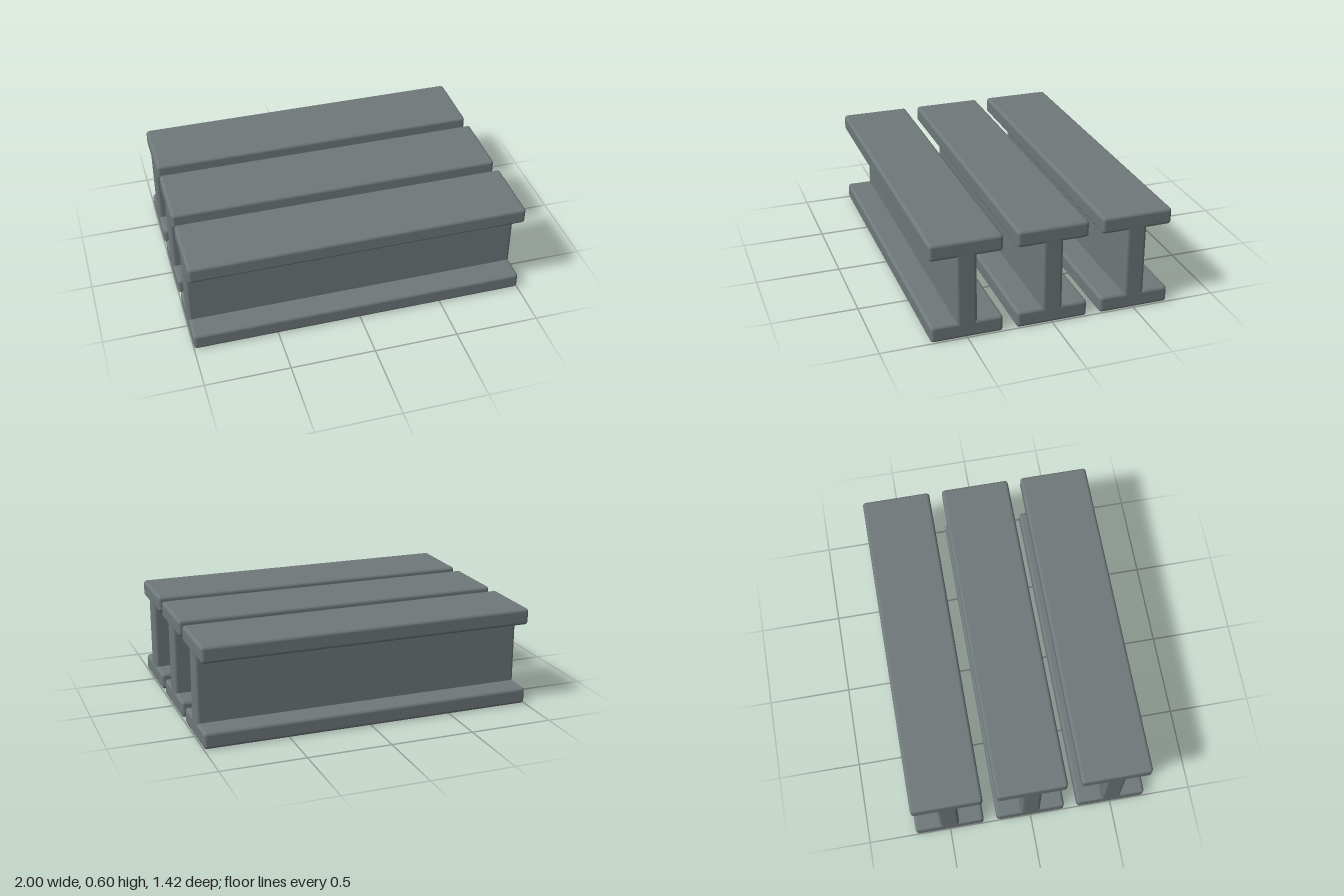
import * as THREE from 'three';
import { RoundedBoxGeometry } from 'three/addons/geometries/RoundedBoxGeometry.js';

const LENGTH = 2, HEIGHT = 0.6, FLANGE_WIDTH = 0.42, FLANGE_THICK = 0.1;
const WEB_THICK = 0.12, BEVEL = 0.02, SPACING = 0.5;

export function createModel() {
  const model = new THREE.Group();
  model.name = 'steelBeams';

  const steel = new THREE.MeshStandardMaterial({ color: 0x6f787a });
  steel.name = 'steel grey';

  const flangeGeometry = new RoundedBoxGeometry(LENGTH, FLANGE_THICK, FLANGE_WIDTH, 3, BEVEL);
  // The web runs into both flanges, a hair short of their end faces
  const webGeometry = new RoundedBoxGeometry(LENGTH - 0.001, HEIGHT - 0.05, WEB_THICK, 3, BEVEL);

  const addPart = (beam, name, geometry, y) => {
    const mesh = new THREE.Mesh(geometry, steel);
    mesh.name = name;
    mesh.position.y = y;
    beam.add(mesh);
  };

  // Three parallel I-beams, side by side
  const names = ['backBeam', 'middleBeam', 'frontBeam'];
  names.forEach((name, i) => {
    const beam = new THREE.Group();
    beam.name = name;
    beam.position.z = (i - 1) * SPACING;
    addPart(beam, 'bottomFlange', flangeGeometry, FLANGE_THICK / 2);
    addPart(beam, 'web', webGeometry, HEIGHT / 2);
    addPart(beam, 'topFlange', flangeGeometry, HEIGHT - FLANGE_THICK / 2);
    model.add(beam);
  });

  return model;
}
